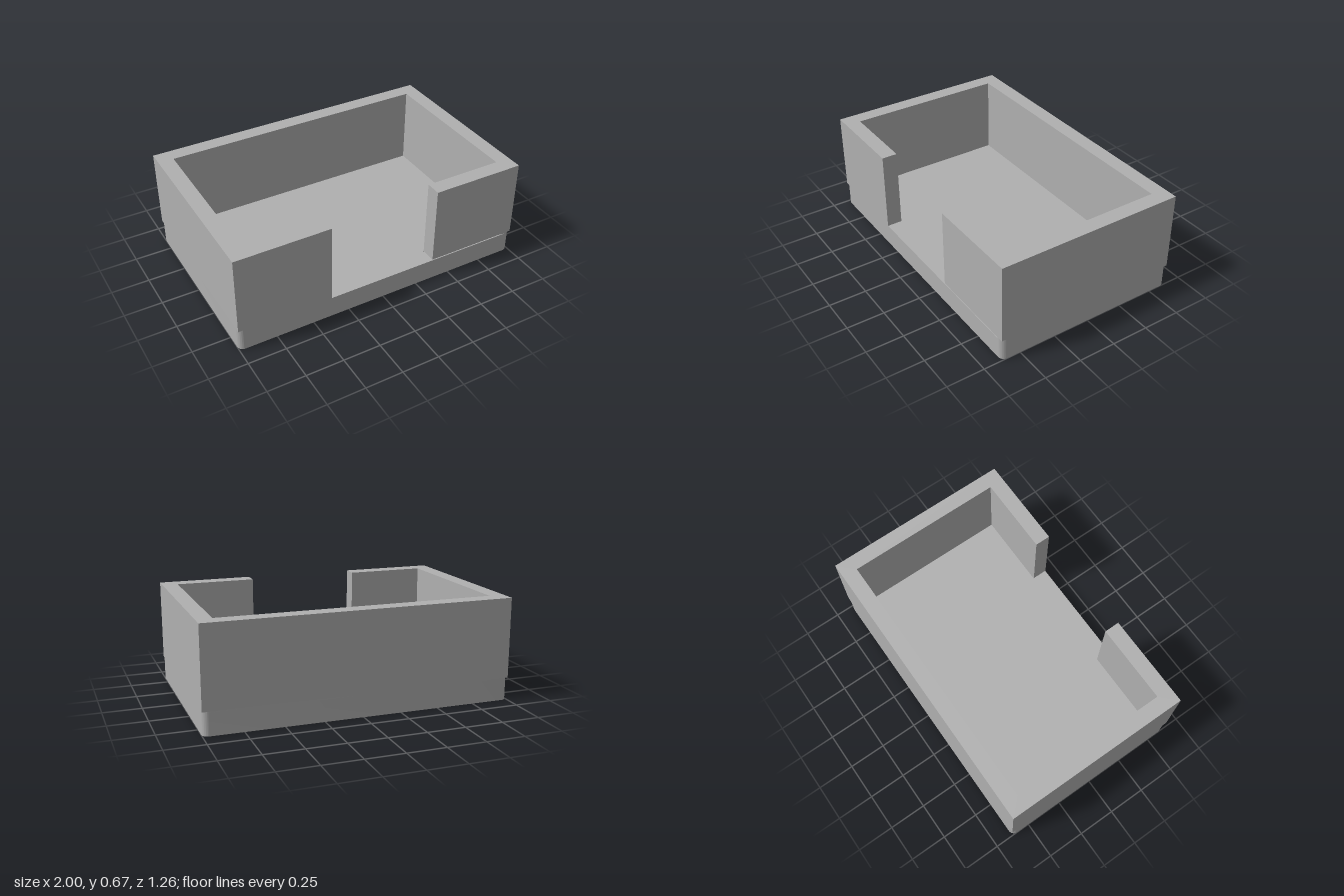
import * as THREE from 'three';
import { toCreasedNormals } from 'three/addons/utils/BufferGeometryUtils.js';

const W = 1, D = 0.63, T = 0.102;    // half width, half depth, wall thickness
const GAP = 0.372, R = 0.04;         // half width of the front opening, corner radius
const FLOOR = 0.143, STEP = 0.15, TOP = 0.674;

// Add the outer right, back and left sides, from the front right corner round
// to the front left one; in the plan, -y is the front.
function outerPath(shape, r) {
  const corners = [[W, -D, -1], [W, D, 0], [-W, D, 1], [-W, -D, 2]];
  for (const [x, y, q] of corners) {
    if (r > 0) {
      const a = q * Math.PI / 2;
      shape.absarc(x - Math.sign(x) * r, y - Math.sign(y) * r, r, a, a + Math.PI / 2, false);
    } else shape.lineTo(x, y);
  }
}

// Solid rounded plan
function basePlan() {
  const s = new THREE.Shape();
  s.moveTo(0, -D);
  outerPath(s, R);
  s.closePath();
  return s;
}

// Wall plan, open in the middle of the front
function wallPlan(r) {
  const s = new THREE.Shape();
  const x = W - T, y = D - T;
  s.moveTo(GAP, -D);
  outerPath(s, r);
  for (const p of [[-GAP, -D], [-GAP, -y], [-x, -y], [-x, y], [x, y], [x, -y], [GAP, -y]]) s.lineTo(...p);
  s.closePath();
  return s;
}

export function createModel() {
  const model = new THREE.Group();
  model.name = 'openTray';
  const grey = new THREE.MeshStandardMaterial({ color: 0xb0b0b0 });
  grey.name = 'plain grey';

  // Raise a plan between two heights
  function addPart(name, plan, y0, y1) {
    const geo = new THREE.ExtrudeGeometry(plan, { depth: y1 - y0, bevelEnabled: false, curveSegments: 12 });
    geo.rotateX(-Math.PI / 2).translate(0, y0, 0);
    const mesh = new THREE.Mesh(toCreasedNormals(geo, 0.6), grey);
    mesh.name = name;
    model.add(mesh);
  }

  addPart('base', basePlan(), 0, FLOOR);
  addPart('wallFoot', wallPlan(R), FLOOR, STEP);  // rounded corners rise just past the floor
  addPart('walls', wallPlan(0), STEP, TOP);       // square corners overhang the base
  return model;
}
